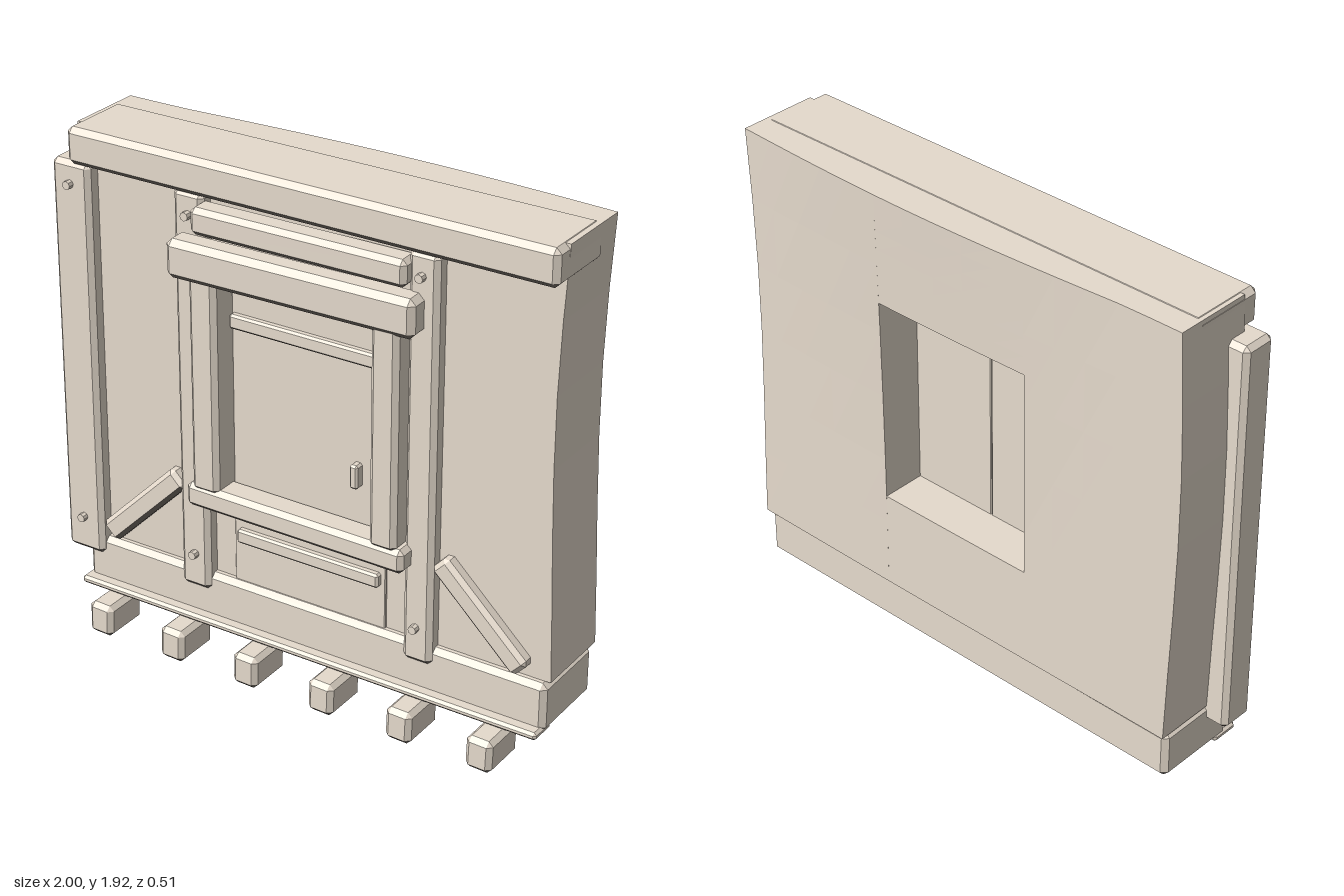
import * as THREE from 'three';
import { ConvexGeometry } from 'three/addons/geometries/ConvexGeometry.js';

const material = (name, color) => {
  const m = new THREE.MeshStandardMaterial({ color, flatShading: true });
  m.name = name;
  return m;
};
const wood = material('pale timber', 0xe6dbcd);
const underside = material('dark underside', 0x7b746c);

// Block with chamfered edges: the hull of three slightly inset boxes
function chamferBox(w, h, d, c) {
  const pts = [];
  for (const sx of [-1, 1]) for (const sy of [-1, 1]) for (const sz of [-1, 1]) {
    const x = w / 2, y = h / 2, z = d / 2;
    pts.push(new THREE.Vector3(sx * x, sy * (y - c), sz * (z - c)));
    pts.push(new THREE.Vector3(sx * (x - c), sy * y, sz * (z - c)));
    pts.push(new THREE.Vector3(sx * (x - c), sy * (y - c), sz * z));
  }
  return new ConvexGeometry(pts);
}

// Geometry groups: 0 for most faces, 1 for the faces on the underside
function splitUnderside(geometry) {
  const g = geometry.index ? geometry.toNonIndexed() : geometry;
  g.clearGroups();
  const p = g.attributes.position;
  const tri = new THREE.Triangle(), n = new THREE.Vector3();
  for (let i = 0; i < p.count; i += 3) {
    tri.setFromAttributeAndIndices(p, i, i + 1, i + 2).getNormal(n);
    const slot = n.y < -0.5 ? 1 : 0;
    const last = g.groups.at(-1);
    if (last && last.materialIndex === slot) last.count += 3;
    else g.addGroup(i, 3, slot);
  }
  return g;
}

export function createModel() {
  const model = new THREE.Group();
  model.name = 'doorWall';

  const add = (name, geometry) => {
    const mesh = new THREE.Mesh(splitUnderside(geometry), [wood, underside]);
    mesh.name = name;
    model.add(mesh);
    return mesh;
  };
  // Chamfered beam given by its limits on each axis
  const beam = (name, [x0, x1], [y0, y1], [z0, z1], c = 0.018) => {
    const mesh = add(name, chamferBox(x1 - x0, y1 - y0, z1 - z0, c));
    mesh.position.set((x0 + x1) / 2, (y0 + y1) / 2, (z0 + z1) / 2);
    return mesh;
  };

  // Wall in four blocks round the opening: hollow left side, bulging right side and back
  const wallBlock = (name, x0, x1, y0, y1) => {
    const g = new THREE.BoxGeometry(x1 - x0, y1 - y0, 0.31, 5, 6, 1);
    g.translate((x0 + x1) / 2, (y0 + y1) / 2, -0.075);
    const p = g.attributes.position;
    for (let i = 0; i < p.count; i++) {
      const x = p.getX(i), y = p.getY(i);
      const t = Math.min(1, Math.max(0, (y - 0.32) / 1.595));
      const bow = 0.026 * Math.sin(Math.PI * t ** 1.3);
      if (p.getZ(i) < 0) {
        const bulge = Math.max(0, Math.cos((x - 0.2) * 1.75));
        p.setZ(i, -0.232 + 0.012 * t - 0.036 * bulge * (0.1 + 0.9 * t * t));
      }
      if (x > 0.99 || x < -0.91) p.setX(i, x - bow);
    }
    add(name, g);
  };
  wallBlock('wallRight', -0.915, -0.29, 0.325, 1.92);
  wallBlock('wallLeft', 0.36, 1.0, 0.325, 1.92);
  wallBlock('wallAbove', -0.29, 0.36, 1.5, 1.92);
  wallBlock('wallBelow', -0.29, 0.36, 0.325, 0.7);

  // Top beam, bottom beam and ledge
  beam('topBeam', [-0.917, 0.997], [1.786, 1.922], [-0.143, 0.152], 0.02);
  beam('bottomBeam', [-0.917, 0.998], [0.135, 0.325], [-0.215, 0.115], 0.02);
  beam('ledge', [-0.922, 0.993], [0.13, 0.16], [0.05, 0.16], 0.01);

  // Joist ends along the base
  for (let i = 0; i < 6; i++) {
    const joist = beam('joist', [-0.82 + i * 0.319, -0.718 + i * 0.319], [0.003, 0.13], [0.065, 0.257]);
    joist.rotation.z = -0.03;
  }

  // Upright posts with bolts
  const bolt = (x, y, z) => {
    const g = new THREE.CylinderGeometry(0.016, 0.016, 0.05, 8).rotateX(Math.PI / 2);
    add('bolt', g).position.set(x, y, z);
  };
  beam('cornerPost', [-0.998, -0.837], [0.26, 1.79], [0, 0.135]);
  beam('doorPostRight', [-0.485, -0.362], [0.26, 1.79], [0.02, 0.133]);
  beam('doorPostLeft', [0.445, 0.56], [0.26, 1.79], [0.02, 0.133]);
  for (const x of [-0.918, -0.42, 0.5]) for (const y of [0.4, 1.707]) bolt(x, y, 0.132);

  // Door with two backing boards, battens and a handle
  beam('door', [-0.275, 0.352], [0.32, 1.53], [0.05, 0.09], 0.003);
  beam('backBoard', [-0.3, 0.013], [0.65, 1.53], [-0.065, 0.05], 0.003);
  beam('backBoard', [0.016, 0.37], [0.65, 1.53], [-0.065, 0.05], 0.003);
  beam('batten', [-0.272, 0.314], [1.317, 1.371], [0.08, 0.115], 0.008);
  beam('batten', [-0.253, 0.334], [0.487, 0.541], [0.08, 0.115], 0.008);
  beam('handle', [0.222, 0.255], [0.852, 0.943], [0.08, 0.125], 0.008);

  // Door surround
  beam('jambRight', [-0.385, -0.273], [0.7, 1.54], [0.06, 0.197]);
  beam('jambLeft', [0.343, 0.45], [0.7, 1.54], [0.06, 0.197]);
  beam('sill', [-0.411, 0.479], [0.626, 0.718], [0.08, 0.197]).rotation.z = -0.007;
  const lintel = beam('lintel', [-0.447, 0.511], [1.507, 1.65], [0.12, 0.225], 0.022);
  lintel.rotation.set(0, 0.035, -0.005);
  const header = beam('header', [-0.381, 0.454], [1.661, 1.76], [0.08, 0.178]);
  header.rotation.set(0, 0.025, -0.005);

  // Diagonal braces, each between two points
  const brace = (ax, ay, bx, by) => {
    const g = chamferBox(Math.hypot(bx - ax, by - ay) + 0.055, 0.086, 0.075, 0.016);
    g.rotateZ(Math.atan2(by - ay, bx - ax));
    add('brace', g).position.set((ax + bx) / 2, (ay + by) / 2, 0.09);
  };
  brace(-0.797, 0.376, -0.515, 0.657);
  brace(0.595, 0.652, 0.882, 0.376);

  return model;
}
